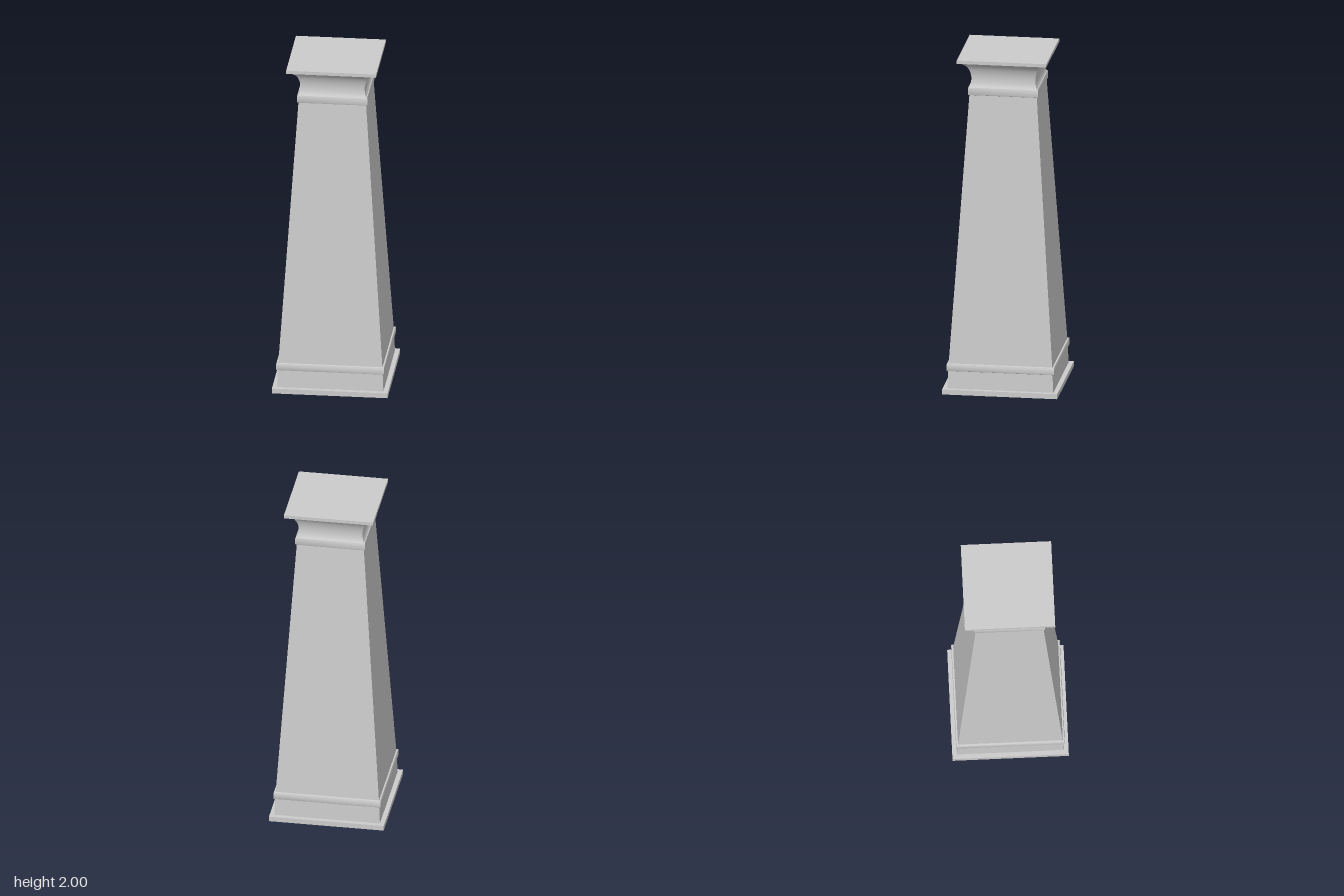
import * as THREE from 'three';
import { toCreasedNormals } from 'three/addons/utils/BufferGeometryUtils.js';

const material = new THREE.MeshStandardMaterial({ color: 0xcccccc, side: THREE.DoubleSide });

// Square ring swept from a profile of [half width, height], bottom to top
function squareSweep(name, profile) {
  const points = profile.map(([half, y]) => new THREE.Vector2(half * Math.SQRT2, y));
  const lathe = new THREE.LatheGeometry(points, 4, Math.PI / 4);
  const mesh = new THREE.Mesh(toCreasedNormals(lathe, Math.PI / 6), material);
  mesh.name = name;
  return mesh;
}

// Moulded band with softened edges, projecting from an inner half width
function band(name, inner, outer, y0, y1) {
  const r = 0.007;
  return squareSweep(name, [
    [inner, y0], [outer - r, y0], [outer - r * 0.3, y0 + r * 0.3], [outer, y0 + r],
    [outer, y1 - r], [outer - r * 0.3, y1 - r * 0.3], [outer - r, y1], [inner, y1],
  ]);
}

export function createModel() {
  const column = new THREE.Group();
  column.name = 'taperedColumn';

  // Hollow base, open underneath
  column.add(squareSweep('plinth', [[0.337, 0], [0.337, 0.03], [0.31, 0.03]]));
  column.add(squareSweep('baseBoard', [[0.31, 0.03], [0.305, 0.135]]));
  column.add(band('baseBand', 0.304, 0.315, 0.135, 0.18));

  // Tapered shaft in two lengths
  const shaftHalf = (y) => THREE.MathUtils.mapLinear(y, 0.135, 1.78, 0.306, 0.197);
  for (const [name, y0, y1] of [['lowerShaft', 0.135, 1.16], ['upperShaft', 1.16, 1.78]]) {
    column.add(squareSweep(name, [[shaftHalf(y0), y0], [shaftHalf(y1), y1]]));
  }

  // Capital: band, cove and flat cap
  column.add(band('capitalBand', 0.195, 0.205, 1.775, 1.825));
  column.add(squareSweep('capitalCove', [
    [0.199, 1.825], [0.193, 1.835], [0.189, 1.85], [0.187, 1.87], [0.188, 1.89],
    [0.192, 1.91], [0.199, 1.93], [0.21, 1.95], [0.228, 1.965], [0.252, 1.98],
  ]));
  column.add(squareSweep('cap', [[0.252, 1.98], [0.262, 1.98], [0.262, 2], [0, 2]]));

  return column;
}
